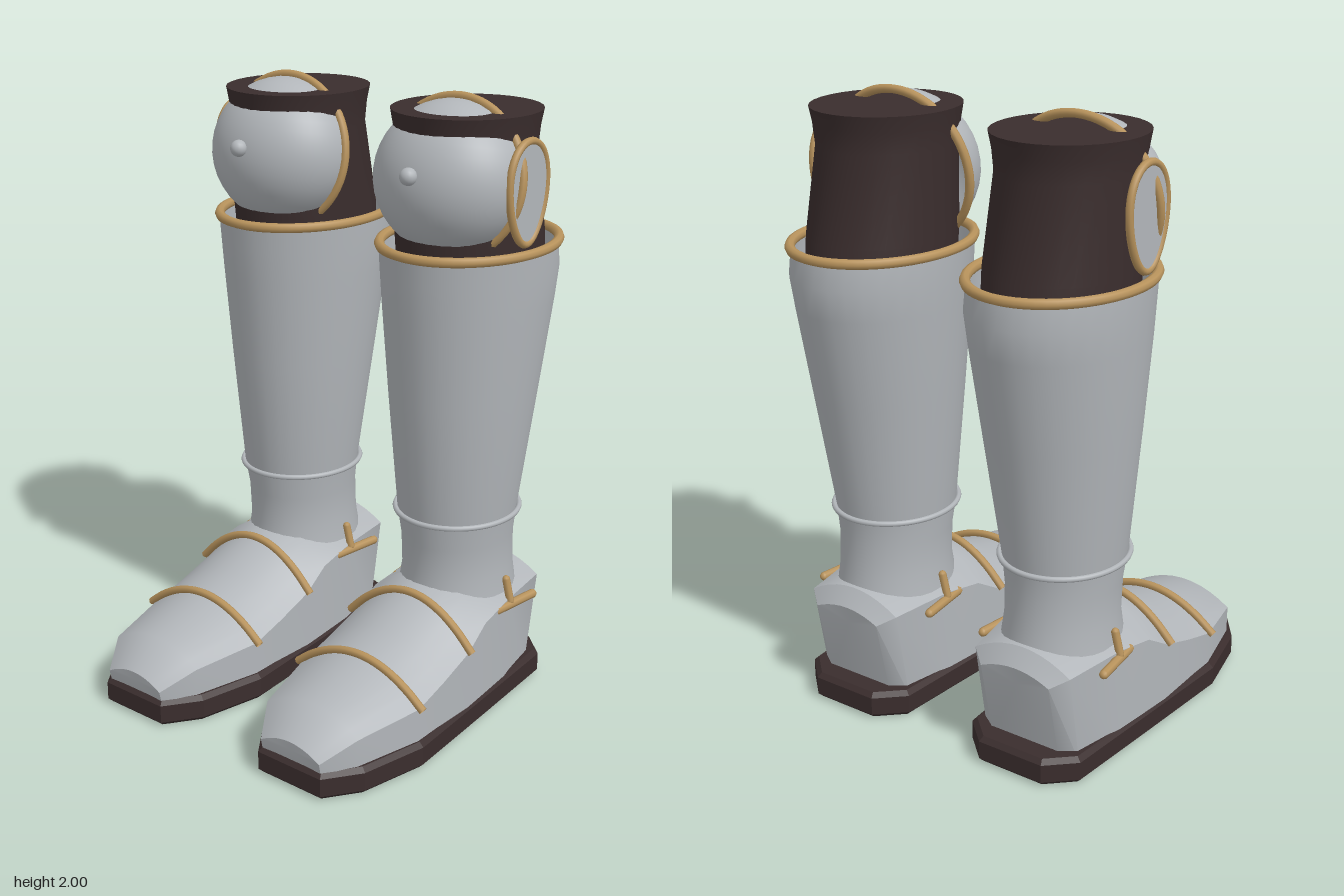
import * as THREE from 'three';
import { toCreasedNormals } from 'three/addons/utils/BufferGeometryUtils.js';

const plate = new THREE.MeshStandardMaterial({ color: 0xb2b6ba, side: THREE.DoubleSide });
plate.name = 'steel grey';
const trim = new THREE.MeshStandardMaterial({ color: 0xb8935c, side: THREE.DoubleSide });
trim.name = 'tan gold';
const dark = new THREE.MeshStandardMaterial({ color: 0x3a2d2d });
dark.name = 'dark leather';

const V = (x, y, z) => new THREE.Vector3(x, y, z);

function add(parent, name, geometry, material, x = 0, y = 0, z = 0) {
  const mesh = new THREE.Mesh(geometry, material);
  mesh.name = name;
  mesh.position.set(x, y, z);
  parent.add(mesh);
  return mesh;
}

// Skin through closed rings that run counter-clockwise about the advance direction
function loft(rings, capStart, capEnd, crease = 0.6) {
  const n = rings[0].length, pos = [], index = [];
  rings.forEach(r => r.forEach(p => pos.push(p.x, p.y, p.z)));
  for (let k = 0; k < rings.length - 1; k++) {
    for (let i = 0; i < n; i++) {
      const a = k * n + i, b = k * n + (i + 1) % n;
      index.push(a, b, b + n, a, b + n, a + n);
    }
  }
  const cap = (k, flip) => {
    const c = rings[k].reduce((s, p) => s.add(p), V(0, 0, 0)).divideScalar(n);
    const ci = pos.length / 3;
    pos.push(c.x, c.y, c.z);
    for (let i = 0; i < n; i++) {
      const a = k * n + i, b = k * n + (i + 1) % n;
      index.push(ci, flip ? b : a, flip ? a : b);
    }
  };
  if (capStart) cap(0, true);
  if (capEnd) cap(rings.length - 1, false);
  const g = new THREE.BufferGeometry();
  g.setAttribute('position', new THREE.Float32BufferAttribute(pos, 3));
  g.setIndex(index);
  return toCreasedNormals(g, crease);
}

// Points of a loop given by a rule of the angle
const loop = (n, f) => Array.from({ length: n }, (_, i) => f(i / n * Math.PI * 2));

// Horizontal ellipse from half width and its back and front z
const oval = (y, rx, back, front, n = 32) => loop(n, t =>
  V(rx * Math.cos(t), y, (front + back) / 2 - (front - back) / 2 * Math.sin(t)));

const tube = (points, r, closed, seg = 48) =>
  new THREE.TubeGeometry(new THREE.CatmullRomCurve3(points, closed), seg, r, 8, closed);

// Foot cross-section: upright sides with an arched top
function footSection([z, w, shoulder, top, zBase]) {
  const pts = [V(w, 0.05, zBase)];
  for (let i = 0; i <= 10; i++) {
    const u = 1 - i / 5;
    pts.push(V(w * u, shoulder + (top - shoulder) * (1 - u * u), z));
  }
  pts.push(V(-w, 0.05, zBase));
  return pts;
}

function outline(half, target) {
  half.forEach(([x, z], i) => i ? target.lineTo(x, z) : target.moveTo(x, z));
  [...half].reverse().forEach(([x, z]) => target.lineTo(-x, z));
  target.closePath();
  return target;
}

function makeBoot(side) {
  const boot = new THREE.Group();
  boot.name = side > 0 ? 'leftBoot' : 'rightBoot';
  boot.position.x = 0.333 * side;

  // Sole: a bevelled rim around a recessed centre
  const shape = outline([[0.11, -0.525], [0.19, -0.45], [0.215, -0.1], [0.24, 0.27],
    [0.19, 0.49], [0.115, 0.595]], new THREE.Shape());
  shape.holes.push(outline([[0.08, -0.4], [0.13, -0.33], [0.16, 0.27], [0.12, 0.42],
    [0.07, 0.49]], new THREE.Path()));
  const sole = new THREE.ExtrudeGeometry(shape,
    { depth: 0.06, bevelSize: 0.015, bevelThickness: 0.015, bevelSegments: 1 });
  sole.rotateX(Math.PI / 2);
  add(boot, 'sole', sole, dark, 0, 0.075, 0);

  // Foot shell, heel to toe: z, half width, shoulder y, top y, z at the base
  const foot = [
    [-0.515, 0.125, 0.33, 0.36, -0.455],
    [-0.475, 0.175, 0.36, 0.415, -0.42],
    [-0.25, 0.21, 0.365, 0.42, -0.24],
    [-0.1, 0.222, 0.34, 0.445, -0.1],
    [0, 0.23, 0.28, 0.41, 0],
    [0.14, 0.233, 0.235, 0.345, 0.14],
    [0.27, 0.235, 0.2, 0.295, 0.27],
    [0.5, 0.18, 0.18, 0.24, 0.5],
    [0.605, 0.115, 0.12, 0.155, 0.59],
  ];
  add(boot, 'footShell', loft(foot.map(footSection), true, true, 0.7), plate);

  // Straps over the instep
  for (const [z, w, top, drop] of [[0.27, 0.25, 0.31, 0.11], [0.005, 0.245, 0.423, 0.14]]) {
    const pts = Array.from({ length: 9 }, (_, i) => {
      const u = i / 4 - 1;
      return V(w * u, top - drop * u * u, z);
    });
    add(boot, 'footStrap', tube(pts, 0.013, false, 24), trim);
  }

  // Ankle clasps on both sides
  for (const s of [-1, 1]) {
    const bar = add(boot, 'ankleBar', new THREE.CapsuleGeometry(0.015, 0.18, 4, 8), trim,
      s * 0.215, 0.345, -0.278);
    bar.rotation.set(Math.PI / 2, 0, s * 0.12);
    const pin = add(boot, 'anklePin', new THREE.CapsuleGeometry(0.013, 0.075, 4, 8), trim,
      s * 0.203, 0.393, -0.256);
    pin.rotation.z = s * 0.25;
  }

  // Shin guard: y, half width, back z, front z
  const shin = [
    [0.36, 0.185, -0.47, -0.04], [0.45, 0.173, -0.455, -0.055], [0.56, 0.175, -0.448, -0.05],
    [0.65, 0.187, -0.453, -0.035], [1.05, 0.225, -0.527, 0.005],
    [1.35, 0.252, -0.582, 0.032], [1.45, 0.258, -0.6, 0.042], [1.535, 0.26, -0.583, 0.047],
  ];
  add(boot, 'shinGuard', loft(shin.map(r => oval(...r)), true, false), plate);
  add(boot, 'shinRim', tube(oval(1.535, 0.257, -0.59, 0.046), 0.016, true, 64), trim);
  add(boot, 'ankleRing', tube(oval(0.65, 0.195, -0.46, -0.03), 0.009, true, 64), plate);

  // Padded knee sleeve
  const sleeve = [
    [1.4, 0.215, -0.545, -0.03], [1.56, 0.222, -0.525, -0.018], [1.83, 0.212, -0.465, -0.012],
    [1.9, 0.218, -0.472, -0.004], [1.948, 0.226, -0.483, 0.006],
  ];
  add(boot, 'kneeSleeve', loft(sleeve.map(r => oval(...r)), true, true), dark);

  // Domed knee cap, leaning slightly back
  const knee = new THREE.Group();
  knee.name = 'kneeCap';
  knee.position.set(0, 1.745, -0.165);
  knee.rotation.x = -0.17;
  boot.add(knee);
  add(knee, 'kneeDome', new THREE.SphereGeometry(1, 32, 20, 0, Math.PI), plate)
    .scale.set(0.25, 0.236, 0.215);
  add(knee, 'kneeRim', tube(loop(32, t => V(0.253 * Math.cos(t), 0.242 * Math.sin(t), 0)),
    0.014, true, 64), trim);
  add(knee, 'kneeStud', new THREE.SphereGeometry(0.027, 16, 12), plate, 0, 0, 0.222);

  // Egg-shaped wing plate on the outer side of the knee
  const wing = new THREE.Group();
  wing.name = 'kneeWing';
  wing.position.set(0.243 * side, 1.722, -0.212);
  if (side < 0) wing.rotation.y = Math.PI;
  boot.add(wing);
  const egg = x => loop(28, t =>
    V(x, 0.155 * Math.cos(t), 0.097 * Math.sin(t) * (1 + 0.18 * Math.cos(t))));
  add(wing, 'wingPlate', loft([egg(-0.006), egg(0.006)], true, true), plate);
  add(wing, 'wingRim', tube(egg(0), 0.012, true, 56), trim);

  return boot;
}

export function createModel() {
  const model = new THREE.Group();
  model.name = 'armouredBoots';
  for (const side of [-1, 1]) model.add(makeBoot(side));
  return model;
}
